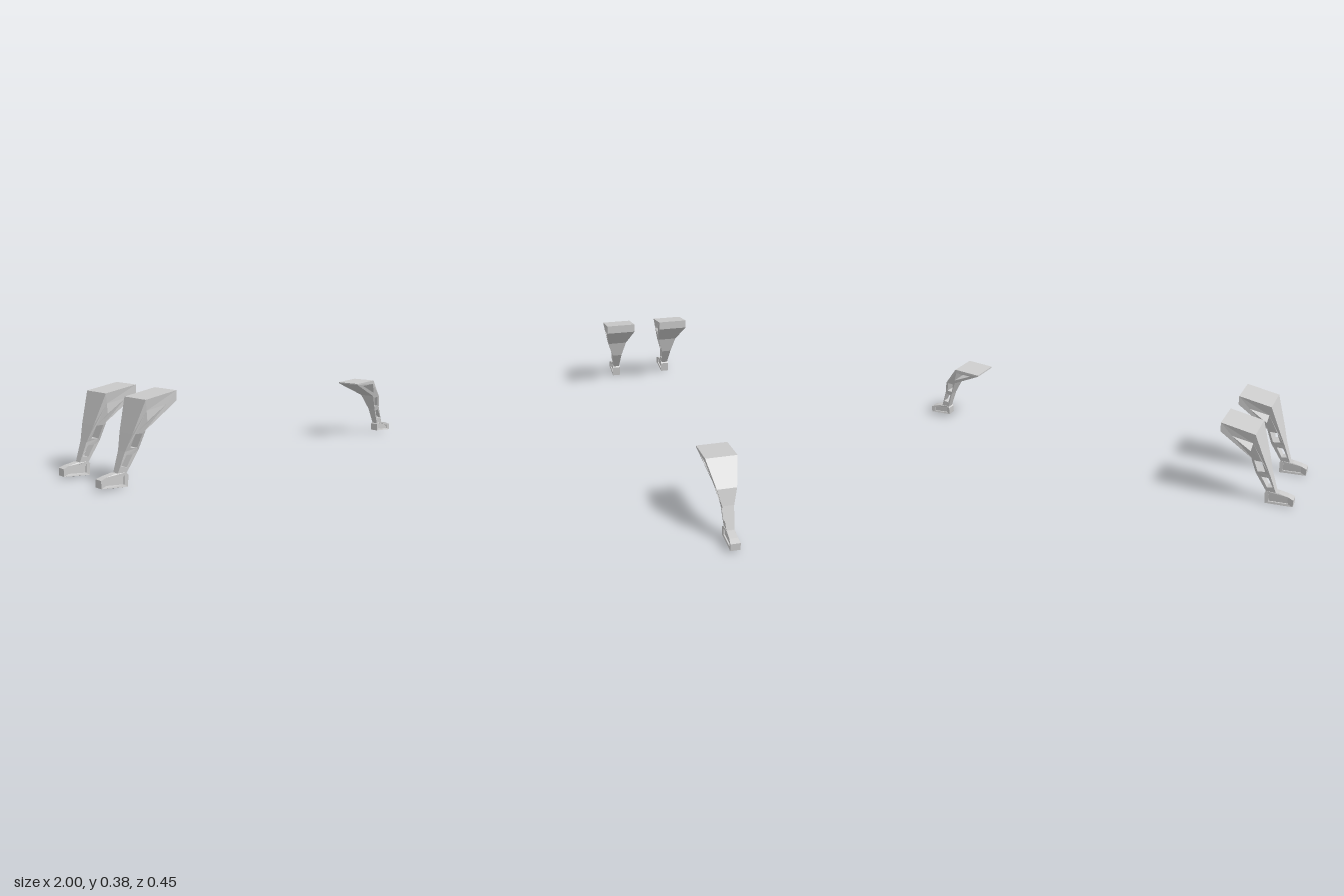
import * as THREE from 'three';

const material = new THREE.MeshStandardMaterial({ color: 0xcccccc, flatShading: true, side: THREE.DoubleSide });

const toVectors = (points) => points.map(([x, y]) => new THREE.Vector2(x, y));

// Piecewise linear interpolation through [key, value] stops
function ramp(stops, t) {
  if (t <= stops[0][0]) return stops[0][1];
  for (let i = 1; i < stops.length; i++) {
    const [a, va] = stops[i - 1];
    const [b, vb] = stops[i];
    if (t <= b) return va + ((vb - va) * (t - a)) / (b - a);
  }
  return stops[stops.length - 1][1];
}

// Side profile with cut-outs, extruded to a half width that varies over the profile
function plate(name, outline, holes, halfWidth) {
  const shape = new THREE.Shape(toVectors(outline));
  for (const hole of holes) shape.holes.push(new THREE.Path(toVectors(hole)));
  const geometry = new THREE.ExtrudeGeometry(shape, { depth: 1, bevelEnabled: false });
  const p = geometry.attributes.position;
  for (let i = 0; i < p.count; i++) {
    const side = p.getZ(i) > 0.5 ? 1 : -1;
    p.setZ(i, side * halfWidth(p.getX(i), p.getY(i)));
  }
  geometry.computeVertexNormals();
  const mesh = new THREE.Mesh(geometry, material);
  mesh.name = name;
  return mesh;
}

// One landing leg: strut with openings, foot rim and recessed foot panel
function leg(name, spec, z) {
  const group = new THREE.Group();
  group.name = name;
  const xs = spec.foot.map(([x]) => x);
  const middle = (Math.min(...xs) + Math.max(...xs)) / 2;
  const half = (Math.max(...xs) - Math.min(...xs)) / 2;
  const footWidth = (x) => 0.0162 + 0.0048 * ((x - middle) / half) ** 2;
  group.add(
    plate('strut', spec.strut, spec.openings, (x, y) => ramp(spec.widths, y)),
    plate('footRim', spec.foot, [spec.panel], footWidth),
    plate('footPanel', spec.panel, [], () => 0.0125),
  );
  group.position.z = z;
  return group;
}

// Taller legs used as a pair, with a thick top block
const pairSpec = {
  strut: [
    [-0.668, 0.38], [-0.82, 0.353], [-0.867, 0.215], [-0.89, 0.145], [-0.922, 0.055],
    [-0.88, 0.055], [-0.826, 0.145], [-0.805, 0.227], [-0.668, 0.338],
  ],
  openings: [
    [[-0.812, 0.308], [-0.72, 0.325], [-0.802, 0.262]],
    [[-0.852, 0.215], [-0.818, 0.215], [-0.834, 0.155], [-0.868, 0.16]],
    [[-0.883, 0.13], [-0.852, 0.13], [-0.88, 0.08], [-0.905, 0.085]],
  ],
  widths: [[0.06, 0.0165], [0.145, 0.025], [0.227, 0.05], [0.338, 0.076]],
  foot: [
    [-1, 0.01], [-1, 0.043], [-0.975, 0.052], [-0.935, 0.06],
    [-0.885, 0.06], [-0.873, 0.05], [-0.877, 0], [-0.935, 0.003],
  ],
  panel: [[-0.978, 0.018], [-0.975, 0.04], [-0.93, 0.049], [-0.89, 0.049], [-0.892, 0.011]],
};

// Lighter single leg, whose top plate thins to an edge
const singleSpec = {
  strut: [
    [0.655, 0.297], [0.79, 0.307], [0.873, 0.21], [0.895, 0.145], [0.933, 0.052],
    [0.892, 0.052], [0.861, 0.135], [0.82, 0.215], [0.655, 0.291],
  ],
  openings: [
    [[0.705, 0.282], [0.787, 0.288], [0.815, 0.235]],
    [[0.834, 0.205], [0.863, 0.208], [0.881, 0.155], [0.854, 0.152]],
    [[0.871, 0.128], [0.892, 0.132], [0.916, 0.085], [0.89, 0.08]],
  ],
  widths: [[0.055, 0.0155], [0.13, 0.0205], [0.215, 0.043], [0.291, 0.067]],
  foot: [
    [1, 0.006], [1, 0.037], [0.975, 0.046], [0.935, 0.056],
    [0.897, 0.056], [0.886, 0.047], [0.888, 0.011], [0.935, 0.008],
  ],
  panel: [[0.98, 0.014], [0.978, 0.034], [0.935, 0.046], [0.901, 0.046], [0.902, 0.018]],
};

export function createModel() {
  const model = new THREE.Group();
  model.name = 'landingLegs';
  model.add(leg('pairLegFront', pairSpec, 0.147));
  model.add(leg('pairLegBack', pairSpec, -0.147));
  model.add(leg('singleLeg', singleSpec, 0.01));
  return model;
}
